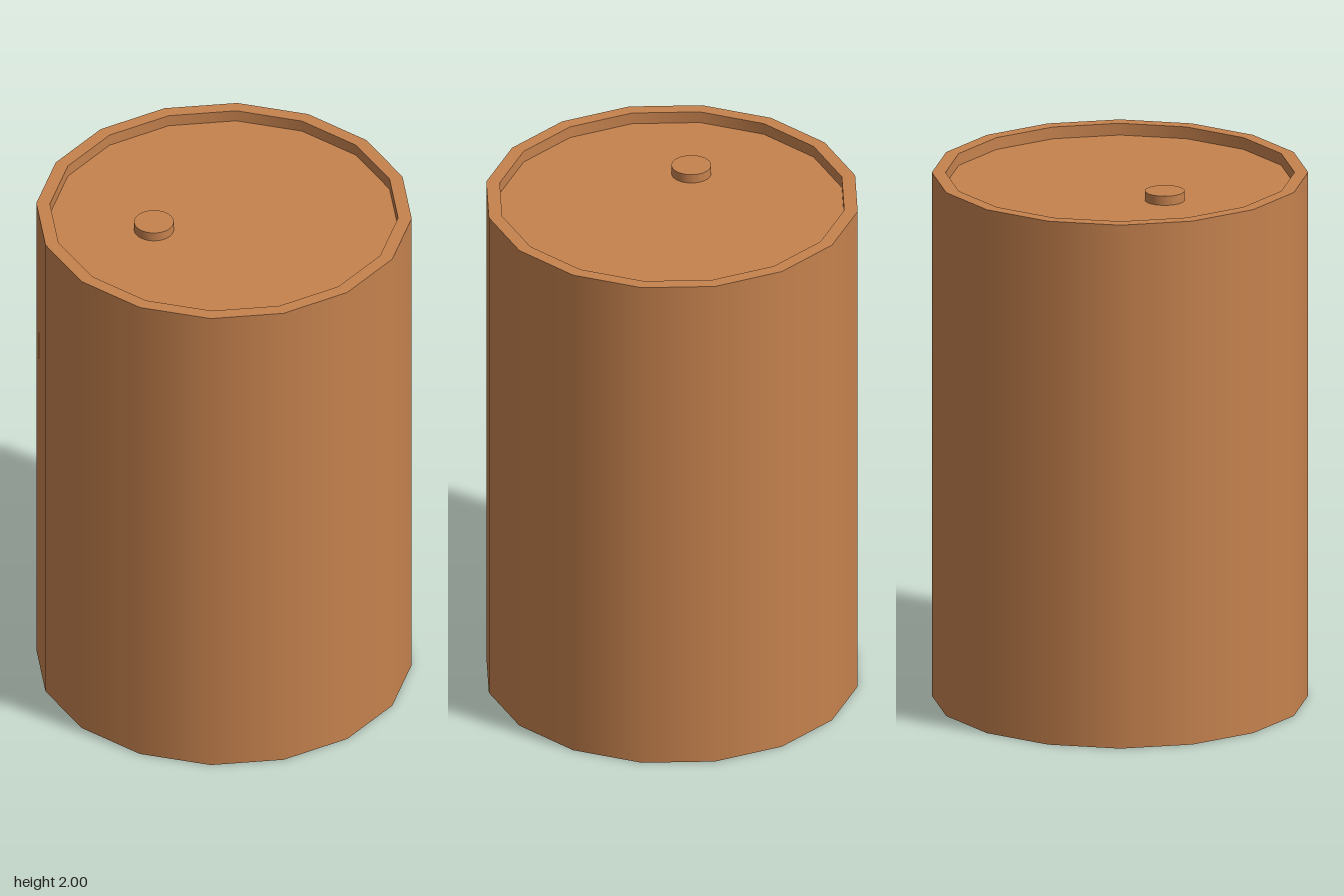
import * as THREE from 'three';

export function createModel() {
  const model = new THREE.Group();
  const copper = new THREE.MeshStandardMaterial({ color: 0xc6824e });
  copper.name = 'copper brown';

  const R = 0.69, INNER = 0.64, TOP = 2, LID = 1.955;

  // One band of the drum; separate bands keep the rim edges sharp
  const band = (name, from, to) => {
    const points = [new THREE.Vector2(...from), new THREE.Vector2(...to)];
    const mesh = new THREE.Mesh(new THREE.LatheGeometry(points, 16), copper);
    mesh.name = name;
    model.add(mesh);
  };

  // Sixteen-sided drum, with its lid recessed inside a thin rim
  band('base', [0, 0], [R, 0]);
  band('drumWall', [R, 0], [R, TOP]);
  band('rim', [R, TOP], [INNER, TOP]);
  band('rimInnerWall', [INNER, TOP], [INNER, LID]);
  band('lid', [INNER, LID], [0, LID]);

  // Small round bung on the lid
  const bung = new THREE.Mesh(new THREE.CylinderGeometry(0.073, 0.073, 0.035, 32), copper);
  bung.name = 'bung';
  bung.position.set(-0.23, LID + 0.0175, -0.127);
  model.add(bung);

  return model;
}
